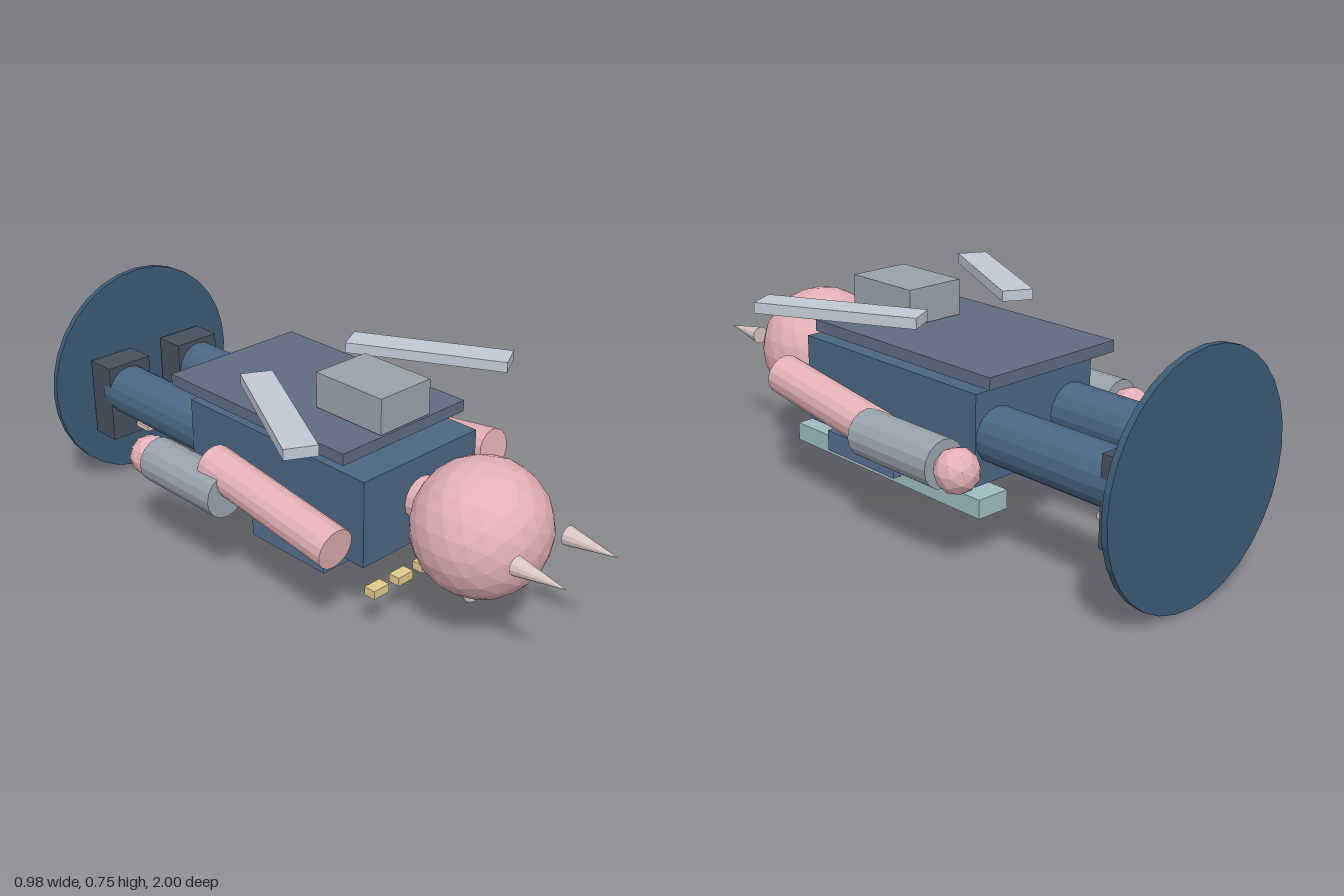
import * as THREE from 'three';

// Low-poly figure lying along z: head at +z, feet against a round stand at -z.
export function createModel() {
  const model = new THREE.Group();
  model.name = 'lyingFigure';

  const materials = {};
  const material = (color) =>
    (materials[color] ??= new THREE.MeshStandardMaterial({ color, flatShading: true }));

  const add = (name, geometry, color, x, y, z) => {
    const mesh = new THREE.Mesh(geometry, material(color));
    mesh.name = name;
    mesh.position.set(x, y, z);
    model.add(mesh);
    return mesh;
  };
  const box = (name, color, w, h, d, x, y, z) =>
    add(name, new THREE.BoxGeometry(w, h, d), color, x, y, z);
  // Cylinder (or cone) whose axis runs along z
  const rod = (name, color, rFront, rBack, length, x, y, z, sides = 16) =>
    add(name, new THREE.CylinderGeometry(rFront, rBack, length, sides).rotateX(Math.PI / 2), color, x, y, z);
  const ball = (name, color, r, detail, x, y, z) =>
    add(name, new THREE.IcosahedronGeometry(r, detail), color, x, y, z);

  const SKIN = 0xe3b0b5, BLUE = 0x4a6682, DARK_BLUE = 0x3c5a74, PLATE = 0x5d6c80;
  const GREY = 0x9aa3aa, WING = 0xc2c9d6, BOOT = 0x46515e;

  // Stand
  rod('standDisc', DARK_BLUE, 0.375, 0.375, 0.02, 0, 0.375, -0.99, 32);

  // Head and body
  ball('head', SKIN, 0.21, 3, 0, 0.377, 0.613);
  rod('neck', SKIN, 0.07, 0.07, 0.1, 0, 0.38, 0.41);
  box('torso', BLUE, 0.485, 0.283, 0.775, 0, 0.378, -0.01);
  box('belt', 0x566f90, 0.55, 0.068, 0.32, 0, 0.206, 0.085);
  box('backPlate', PLATE, 0.52, 0.037, 0.78, 0, 0.572, -0.08);
  box('backpack', GREY, 0.208, 0.115, 0.27, 0, 0.652, 0.172);

  // Long bar and small buttons on the underside
  box('chestBar', 0x9fbcbf, 0.114, 0.06, 0.86, 0.187, 0.173, 0.013);
  for (const x of [-0.207, -0.103, 0]) {
    box('button', 0xe0cb8c, 0.062, 0.028, 0.04, x, 0.158, 0.4);
  }
  box('ankleBar', 0xe6c6c4, 0.3, 0.016, 0.065, 0, 0.248, -0.808);

  // Mirrored parts
  for (const side of [1, -1]) {
    rod('horn', 0xd9c6c2, 0, 0.03, 0.17, side * 0.115, 0.393, 0.914, 12);
    ball('eye', 0xd8d8d8, 0.021, 1, side * 0.063, 0.18, 0.635);

    const wing = box('wing', WING, 0.1, 0.034, 0.522, side * 0.322, 0.671, 0.105);
    wing.rotation.y = side * 0.489;

    // Upper arms swing in opposite directions
    const arm = rod('upperArm', SKIN, 0.065, 0.065, 0.54, side * 0.346, 0.377, 0.1);
    arm.rotation.x = -side * 0.139;
    rod('forearm', GREY, 0.074, 0.074, 0.335, side * 0.375, 0.35, -0.243);
    ball('hand', SKIN, 0.068, 1, side * 0.37, 0.344, -0.458);

    rod('leg', BLUE, 0.086, 0.086, 0.5, side * 0.155, 0.378, -0.64);
    box('foot', BOOT, 0.17, 0.27, 0.105, side * 0.15, 0.342, -0.91);
  }
  return model;
}
